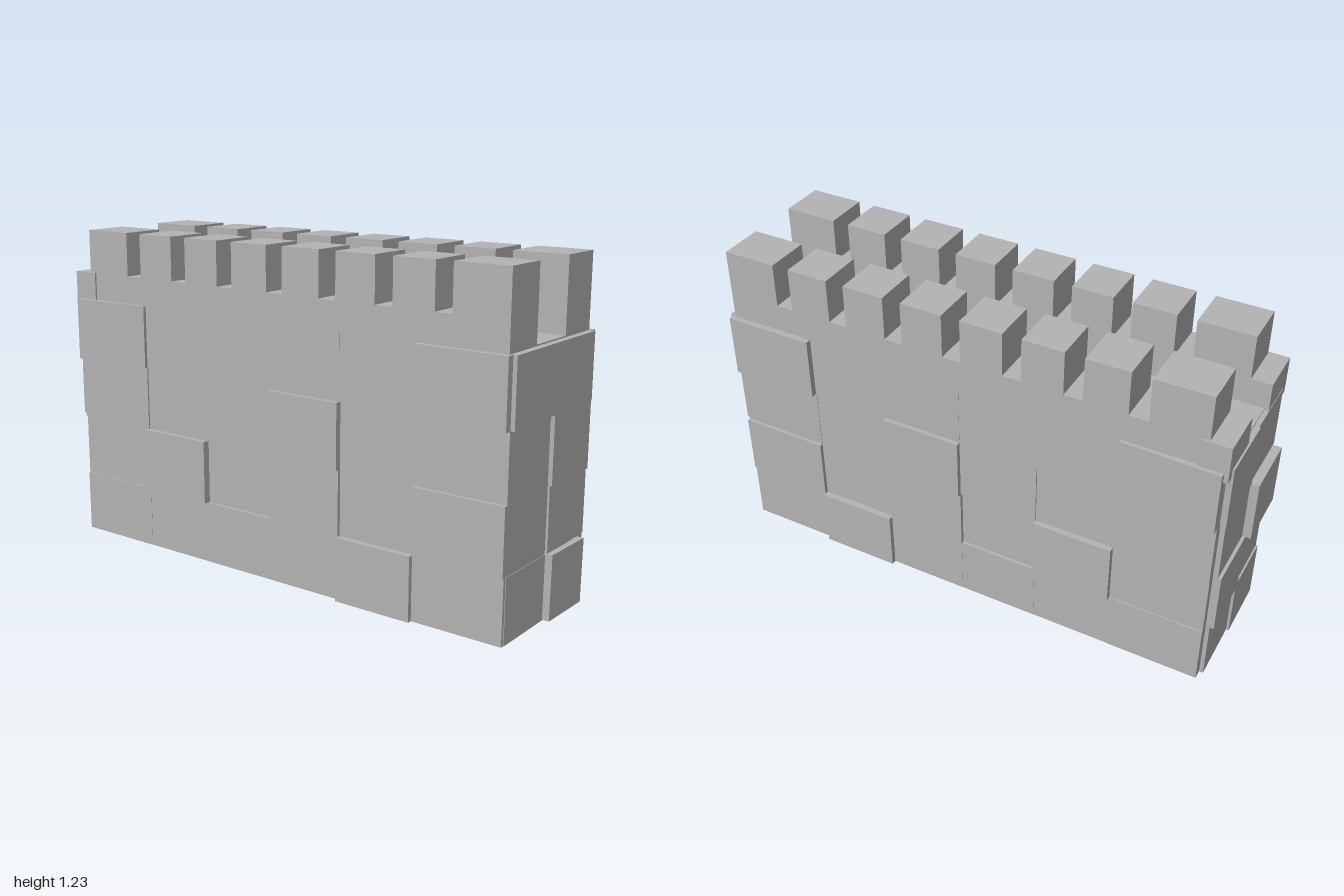
import * as THREE from 'three';

export function createModel() {
  const wall = new THREE.Group();
  wall.name = 'castleWall';
  const stone = new THREE.MeshStandardMaterial({ color: 0xb3b3b3 });
  stone.name = 'greyStone';

  // Box given by its extents along each axis
  const block = (name, [x0, x1], [y0, y1], [z0, z1]) => {
    const g = new THREE.BoxGeometry(x1 - x0, y1 - y0, z1 - z0);
    const m = new THREE.Mesh(g, stone);
    m.position.set((x0 + x1) / 2, (y0 + y1) / 2, (z0 + z1) / 2);
    m.name = name;
    wall.add(m);
    return m;
  };

  // Solid core with the walkway on top
  block('core', [-0.262, 0.262], [0.01, 0.97], [-0.95, 0.96]);

  const rows = [0.01, 0.245, 0.485, 0.725, 0.965];
  const cols = [0.97, 0.625, 0.32, 0.01, -0.295, -0.595, -0.95];

  // Outer face of every side stone: one line per course, front to back
  const faces = [
    [0.278, 0.295, 0.276, 0.275, 0.274, 0.275],
    [0.285, 0.27, 0.28, 0.264, 0.292, 0.27],
    [0.272, 0.27, 0.293, 0.275, 0.27, 0.276],
    [0.298, 0.275, 0.276, 0.275, 0.275, 0.293],
  ];
  const merlons = [[0.755, 0.96], [0.53, 0.69], [0.3, 0.46], [0.07, 0.23],
    [-0.16, 0], [-0.385, -0.23], [-0.615, -0.455], [-0.89, -0.685]];

  for (const s of [-1, 1]) {
    const span = (a, b) => (s > 0 ? [a, b] : [-b, -a]);

    // Side stones
    faces.forEach((line, r) => line.forEach((x, c) => {
      const m = block('sideStone', span(0.2, x), [rows[r], rows[r + 1]], [cols[c + 1], cols[c]]);
      if (r === 3 && c === 5) m.rotation.y = -s * 0.03;
      if (r === 1 && c === 2) m.rotation.y = s * 0.012;
    }));

    // Parapet with merlons
    block('parapet', span(0.1, 0.275), [0.96, 1.07], [-0.955, 0.96]);
    block('parapetEnd', span(0.1, 0.282), [0.93, 1.07], [-0.965, -0.86]);
    for (const z of merlons) block('merlon', span(0.1, 0.275), [1.07, 1.235], z);
  }

  // End stones: [course, x range, outer z, small roll]
  const ends = [
    [0, [-0.265, 0], 0.972, 0], [0, [0, 0.235], 0.998, -0.02],
    [1, [-0.265, 0], 0.97, 0], [1, [0.005, 0.24], 0.976, 0.012],
    [2, [-0.265, 0], 0.97, 0], [2, [0, 0.265], 0.985, 0],
    [3, [-0.27, 0], 0.985, 0], [3, [0, 0.27], 0.985, 0],
    [0, [-0.24, 0], -0.975, 0], [0, [0, 0.24], -0.965, 0],
    [1, [-0.24, 0], -0.968, 0], [1, [0, 0.24], -0.98, 0],
    [2, [-0.24, 0], -1, 0], [2, [0, 0.24], -0.968, 0],
    [3, [-0.25, 0], -0.967, 0], [3, [0, 0.25], -0.972, 0],
  ];
  for (const [r, x, z, roll] of ends) {
    const m = block(z > 0 ? 'frontStone' : 'backStone', x, [rows[r], rows[r + 1]],
      z > 0 ? [0.9, z] : [z, -0.9]);
    m.rotation.z = roll;
  }

  // Rest the lowest corner on the ground
  const box = new THREE.Box3().setFromObject(wall, true);
  for (const m of wall.children) m.position.y -= box.min.y;
  return wall;
}
